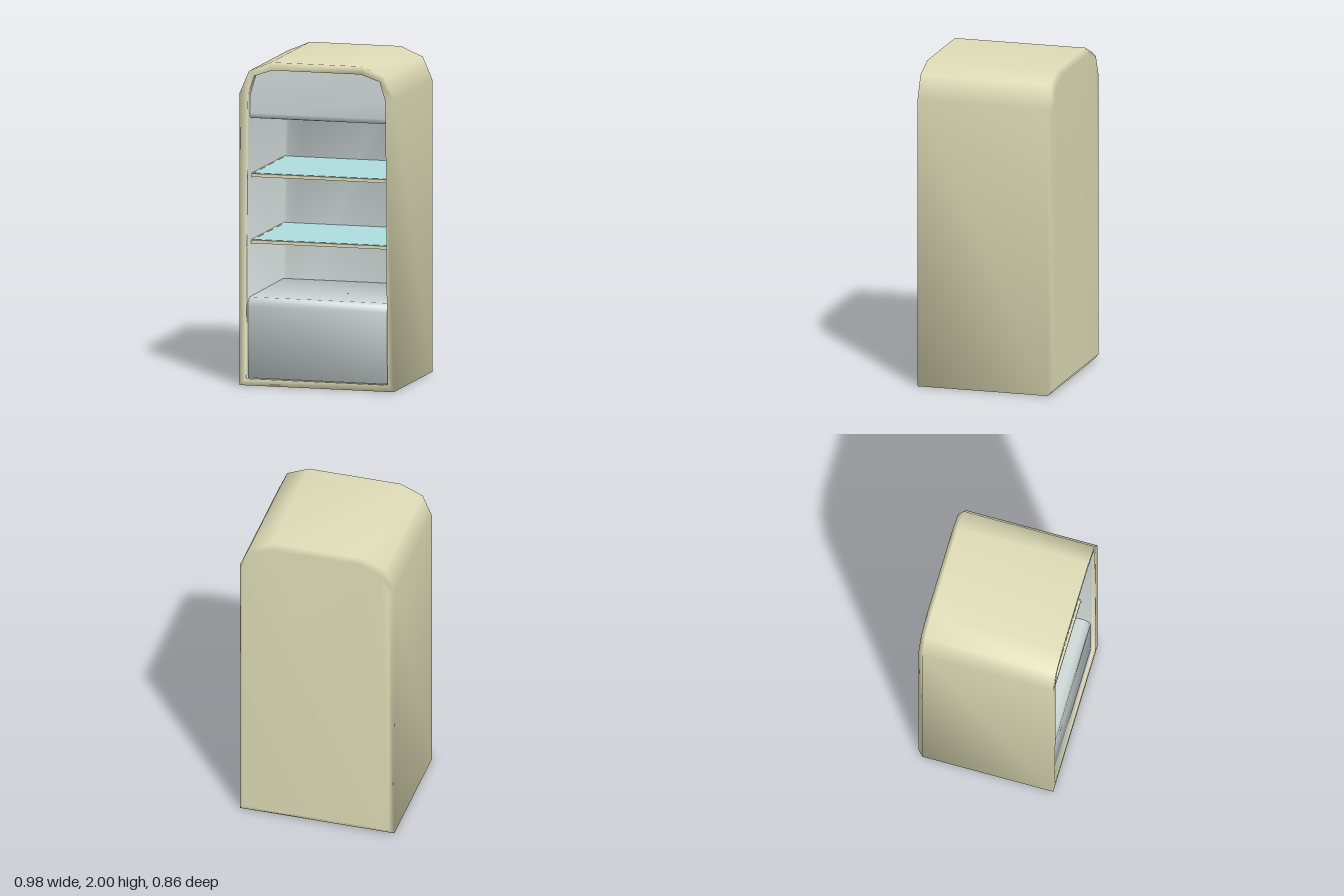
import * as THREE from 'three';

const material = (name, color) => {
  const m = new THREE.MeshStandardMaterial({ color });
  m.name = name;
  return m;
};

// Arched cross-section, counter-clockwise seen from the front
function arch(z, bottom, wBottom, wSide, ySide, wChamfer, yChamfer, wTop, yTop) {
  const right = [[wBottom, bottom], [wSide, ySide], [wChamfer, yChamfer], [wTop, yTop]];
  const left = right.map(([x, y]) => [-x, y]).reverse();
  return [left[3], ...right, ...left.slice(0, 3)].map(([x, y]) => [x, y, z]);
}

// Smooth skin through equal rings, with optional end caps
function loft(rings, capStart, capEnd) {
  const n = rings[0].length;
  const index = [];
  for (let r = 0; r < rings.length - 1; r++) {
    for (let i = 0; i < n; i++) {
      const j = (i + 1) % n;
      const a = r * n + i, b = r * n + j, c = b + n, d = a + n;
      index.push(a, b, c, a, c, d);
    }
  }
  const last = (rings.length - 1) * n;
  for (let i = 1; i < n - 1; i++) {
    if (capStart) index.push(0, i + 1, i);
    if (capEnd) index.push(last, last + i, last + i + 1);
  }
  const g = new THREE.BufferGeometry();
  g.setAttribute('position', new THREE.Float32BufferAttribute(rings.flat(2), 3));
  g.setIndex(index);
  g.computeVertexNormals();
  return g;
}

export function createModel() {
  const cream = material('cream enamel', 0xdedcb6);
  const grey = material('pale grey lining', 0xcdd6d6);
  const glass = material('aqua glass', 0xaddcde);
  const group = new THREE.Group();

  const add = (name, geometry, mat, x = 0, y = 0, z = 0, parent = group) => {
    const mesh = new THREE.Mesh(geometry, mat);
    mesh.name = name;
    mesh.position.set(x, y, z);
    parent.add(mesh);
    return mesh;
  };

  // Outer cabinet with chamfered back and a front rim
  const inner = (z) => arch(z, 0.04, 0.45, 0.437, 1.79, 0.4, 1.91, 0.28, 1.95);
  add('cabinet', loft([
    arch(-0.43, 0.035, 0.465, 0.465, 1.79, 0.41, 1.92, 0.28, 1.97),
    arch(-0.4, 0, 0.49, 0.49, 1.8, 0.43, 1.94, 0.29, 2),
    arch(0.43, 0, 0.49, 0.49, 1.8, 0.43, 1.94, 0.29, 2),
    inner(0.43),
    inner(0.41),
  ], true, false), cream);

  // Open-fronted lining
  add('lining', loft([inner(0.41), inner(-0.37)], false, true), grey);

  // Freezer compartment filling the arch, with a rounded lower lip
  const freezer = (z, bottom) => arch(z, bottom, 0.437, 0.435, 1.79, 0.398, 1.908, 0.279, 1.948);
  add('freezerCompartment', loft([
    freezer(-0.36, 1.64), freezer(0.36, 1.64), freezer(0.38, 1.65), freezer(0.39, 1.675),
  ], true, true), grey);

  // Bottom drawer: side profile with a rounded top edge, run across the width
  const profile = [[-0.36, 0.042], [0.4, 0.042], [0.4, 0.48], [0.39, 0.515], [0.36, 0.535], [-0.36, 0.54]];
  const drawerRing = (x) => profile.map(([z, y]) => [x, y, z]).reverse();
  add('bottomDrawer', loft([drawerRing(-0.446), drawerRing(0.446)], true, true), grey);

  // Glass shelves with cream edging
  for (const y of [0.87, 1.28]) {
    const shelf = new THREE.Group();
    shelf.name = 'shelf';
    shelf.position.y = y;
    group.add(shelf);
    add('shelfGlass', new THREE.BoxGeometry(0.87, 0.012, 0.69), glass, 0, 0.009, -0.02, shelf);
    add('shelfFrontEdge', new THREE.BoxGeometry(0.89, 0.02, 0.015), cream, 0, 0.003, 0.333, shelf);
    for (const side of [-1, 1]) {
      add('shelfSideEdge', new THREE.BoxGeometry(0.012, 0.02, 0.7), cream, side * 0.438, 0.006, -0.02, shelf);
    }
  }

  return group;
}
